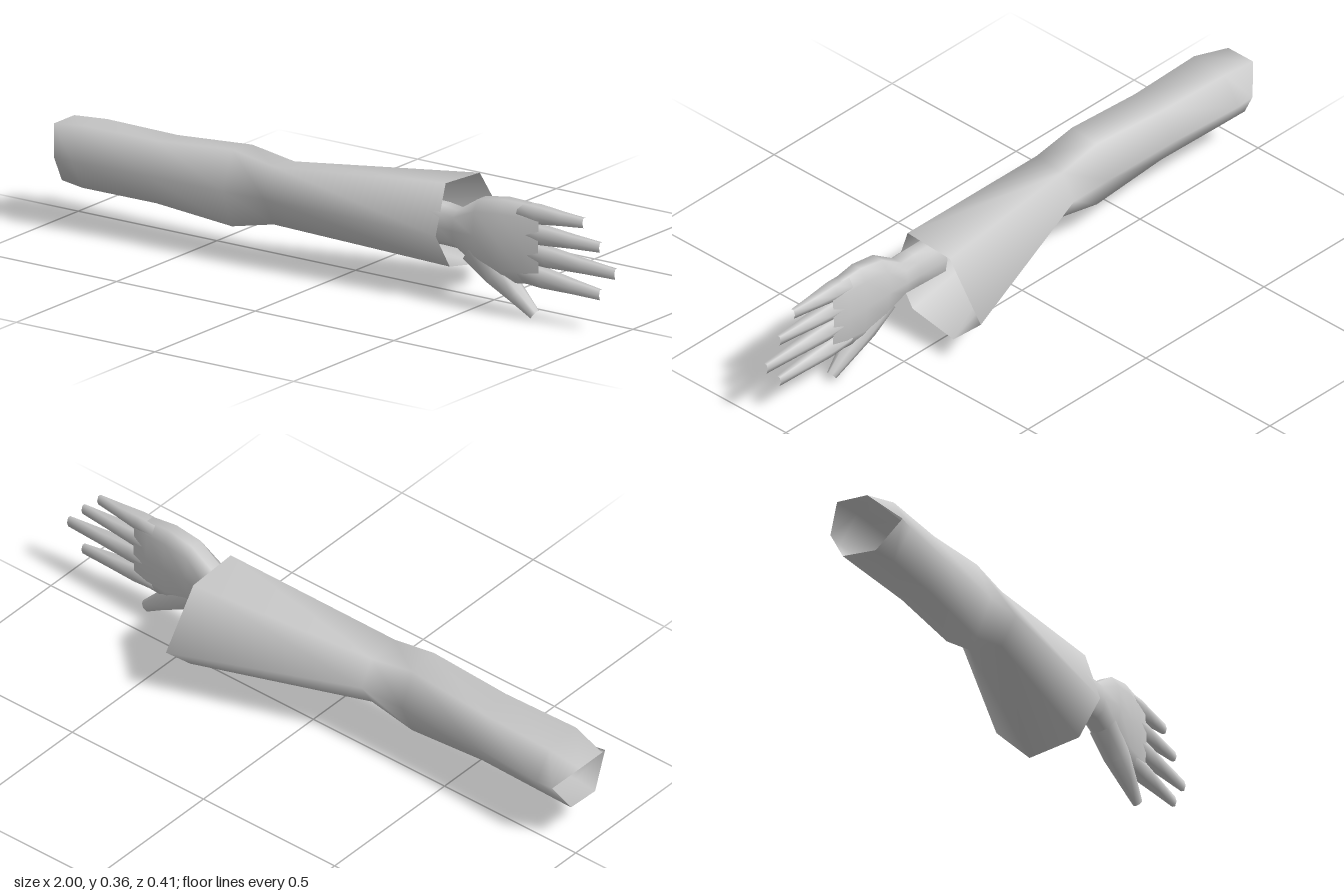
import * as THREE from 'three';

const skin = new THREE.MeshStandardMaterial({ color: 0xcccccc });
const cloth = new THREE.MeshStandardMaterial({ color: 0xcccccc, side: THREE.DoubleSide });

// Smooth skin over rings of [x, y, z] points; every ring runs front, top, back, bottom
function loft(name, rings, material, capEnd) {
  const n = rings[0].length, index = [];
  const points = rings.flat();
  for (let i = 0; i < rings.length - 1; i++) {
    for (let j = 0; j < n; j++) {
      const a = i * n + j, c = i * n + (j + 1) % n;
      index.push(a, a + n, c, c, a + n, c + n);
    }
  }
  if (capEnd) {
    const start = points.length;
    points.push(...rings[rings.length - 1]); // separate points keep the tip edge sharp
    for (let j = 1; j < n - 1; j++) index.push(start, start + j, start + j + 1);
  }
  const g = new THREE.BufferGeometry();
  g.setAttribute('position', new THREE.Float32BufferAttribute(points.flat(), 3));
  g.setIndex(index);
  g.computeVertexNormals();
  const mesh = new THREE.Mesh(g, material);
  mesh.name = name;
  return mesh;
}

// Oval ring around (x, y, z), turned by tilt in the xy plane
function oval(n, x, y, z, ry, rz, tilt = 0, power = 1) {
  return Array.from({ length: n }, (_, j) => {
    const a = j / n * Math.PI * 2, s = Math.sin(a), c = Math.cos(a);
    const v = ry * Math.sign(s) * Math.abs(s) ** power;
    return [x - Math.sin(tilt) * v, y + Math.cos(tilt) * v, z + rz * Math.sign(c) * Math.abs(c) ** power];
  });
}

// Six-sided sleeve ring from its outer limits
function sleeveRing(x, y0, y1, z0, z1) {
  const y = (y0 + y1) / 2, w = z1 - z0;
  return [[x, y, z1], [x, y1, z1 - w * 0.24], [x, y1 - 0.01, z0 + w * 0.24],
    [x, y, z0], [x, y0 + 0.01, z0 + w * 0.24], [x, y0, z1 - w * 0.24]];
}

export function createModel() {
  const group = new THREE.Group();

  // Sleeve with a notched shoulder opening and a wide hanging cuff
  group.add(loft('sleeve', [
    [[-0.94, 0.23, 0.205], [-1, 0.3, 0.12], [-1, 0.3, 0.02],
      [-0.94, 0.23, -0.035], [-0.965, 0.14, 0.02], [-0.965, 0.135, 0.13]],
    sleeveRing(-0.88, 0.13, 0.32, -0.035, 0.2),
    sleeveRing(-0.62, 0.128, 0.32, -0.02, 0.185),
    sleeveRing(-0.35, 0.105, 0.34, -0.015, 0.178),
    sleeveRing(-0.2, 0.138, 0.315, -0.02, 0.18),
    [[0.39, 0.21, 0.14], [0.39, 0.36, 0.09], [0.39, 0.35, -0.08],
      [0.39, 0.175, -0.205], [0.39, 0.07, -0.095], [0.39, 0.1, 0.07]],
  ], cloth, false));

  const hand = new THREE.Group();
  hand.name = 'hand';
  group.add(hand);

  // Wrist and palm: x, centre y, centre z, half height, half thickness
  const palm = [
    [0.28, 0.235, 0.08, 0.066, 0.046], [0.39, 0.235, 0.082, 0.063, 0.045],
    [0.44, 0.232, 0.085, 0.06, 0.045], [0.52, 0.236, 0.088, 0.108, 0.05],
    [0.61, 0.227, 0.088, 0.132, 0.044], [0.68, 0.229, 0.083, 0.127, 0.035],
    [0.735, 0.228, 0.083, 0.121, 0.024],
  ];
  hand.add(loft('palm', palm.map(([x, y, z, h, t]) => oval(10, x, y, z, h, t, 0, 0.8)), skin, true));

  // Fingers: base y, tip x, tip y, base half width
  const fingers = [
    ['littleFinger', 0.322, 0.885, 0.326, 0.029],
    ['ringFinger', 0.262, 0.945, 0.262, 0.029],
    ['middleFinger', 0.202, 1, 0.19, 0.031],
    ['indexFinger', 0.138, 0.945, 0.117, 0.03],
  ];
  for (const [name, y, tipX, tipY, r] of fingers) {
    const rings = [[0, 1, 0.03], [0.28, 1, 0.03], [0.65, 0.72, 0.021], [1, 0.55, 0.01]].map(([t, w, thick]) =>
      oval(6, 0.66 + (tipX - 0.66) * t, y + (tipY - y) * t, 0.083, r * w / 0.93, thick));
    hand.add(loft(name, rings, skin, true));
  }

  // Thumb, slanting down from the palm: x, y, half width, half thickness
  const thumb = [[0.5, 0.185, 0.06, 0.042], [0.58, 0.12, 0.047, 0.04],
    [0.65, 0.065, 0.03, 0.028], [0.712, 0.016, 0.019, 0.014]];
  hand.add(loft('thumb', thumb.map(([x, y, w, t]) => oval(8, x, y, 0.09, w, t, -0.68)), skin, true));

  return group;
}
